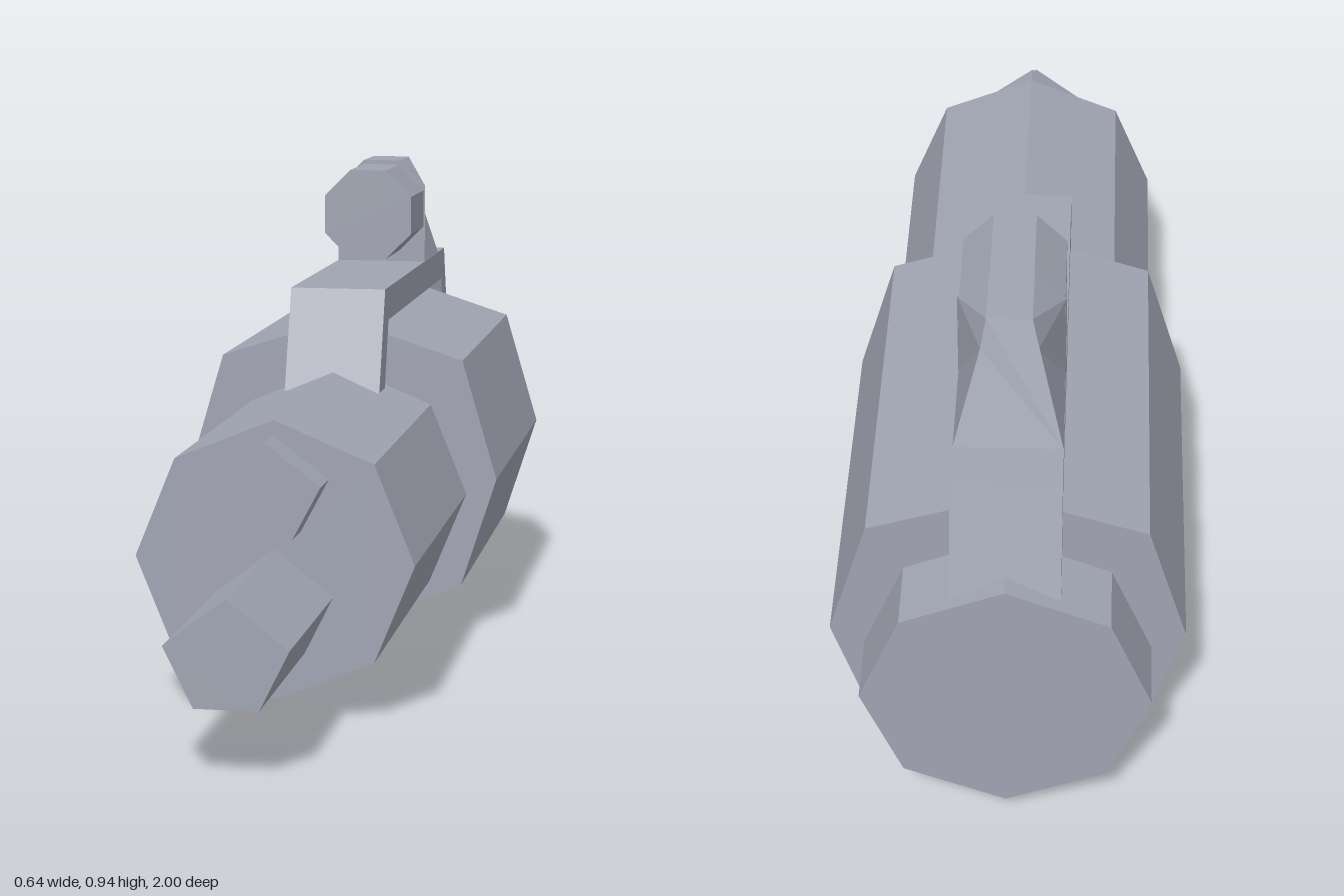
import * as THREE from 'three';

const gunmetal = new THREE.MeshStandardMaterial({ color: 0xa0a4b2, flatShading: true });
gunmetal.name = 'gunmetal';

// Closed outline from 2D points
function outline(points) {
  return new THREE.Shape(points.map(([x, y]) => new THREE.Vector2(x, y)));
}

// Right half of a profile, top to bottom, mirrored to the left
function mirrored(half) {
  const left = half.filter(([x]) => x > 0).map(([x, y]) => [-x, y]).reverse();
  return [...half, ...left];
}

// Straight prism along z
function prism(half, zBack, zFront) {
  const g = new THREE.ExtrudeGeometry(outline(mirrored(half)), { depth: zFront - zBack, bevelEnabled: false });
  return g.translate(0, 0, zBack);
}

// Carrying strap: side outline in (z, y), extruded across x
function strapGeometry() {
  const side = [
    [0.01, 0.52], [-0.06, 0.722], [-0.905, 0.722], [-0.975, 0.52],
    [-0.908, 0.52], [-0.862, 0.655], [-0.103, 0.655], [-0.06, 0.52],
  ];
  const width = 0.194;
  const g = new THREE.ExtrudeGeometry(outline(side), { depth: width, bevelEnabled: false });
  return g.translate(0, 0, -width / 2).rotateY(-Math.PI / 2);
}

// Sight mount: front hexagon joined to a narrower, sloping back hexagon
function mountGeometry() {
  const front = [[0.097, 0.72, -0.6], [0.097, 0.89, -0.6], [0.04, 0.945, -0.6]];
  const back = [[0.097, 0.72, -0.81], [0.05, 0.89, -0.745], [0.04, 0.945, -0.73]];
  const ring = (r) => {
    const left = r.map(([x, y, z]) => [-x, y, z]);
    return [left[0], ...r, left[2], left[1]];
  };
  const f = ring(front), b = ring(back), out = [];
  const tri = (...c) => c.forEach((p) => out.push(...p));
  for (let i = 0; i < 6; i++) {
    const j = (i + 1) % 6;
    if (i < 3) { tri(f[i], b[i], b[j]); tri(f[i], b[j], f[j]); }
    else { tri(f[i], b[i], f[j]); tri(b[i], b[j], f[j]); }
  }
  for (let i = 1; i < 5; i++) {
    tri(f[0], f[i], f[i + 1]);
    tri(b[0], b[i + 1], b[i]);
  }
  const g = new THREE.BufferGeometry();
  g.setAttribute('position', new THREE.Float32BufferAttribute(out, 3));
  g.computeVertexNormals();
  return g;
}

export function createModel() {
  const model = new THREE.Group();
  model.name = 'blaster';
  const add = (name, geometry) => {
    const mesh = new THREE.Mesh(geometry, gunmetal);
    mesh.name = name;
    model.add(mesh);
  };

  // Main octagonal body and its thicker sleeve
  add('body', prism([[0, 0.558], [0.185, 0.482], [0.26, 0.298], [0.185, 0.113], [0, 0.038]], -1, 0.593));
  add('sleeve', prism([[0, 0.655], [0.25, 0.574], [0.322, 0.33], [0.25, 0.105], [0, 0]], -0.862, -0.103));

  // Two pentagonal barrels
  add('lowerBarrel', prism([[0, 0.32], [0.11, 0.235], [0.057, 0.128]], 0.57, 1));
  add('upperBarrel', prism([[0, 0.53], [0.102, 0.453], [0.05, 0.355]], 0.57, 0.678));

  // Strap, sight mount and sight
  add('strap', strapGeometry());
  add('sightMount', mountGeometry());
  add('sight', prism([[0.039, 0.936], [0.094, 0.88], [0.094, 0.8], [0.039, 0.745]], -0.61, -0.418));

  return model;
}
